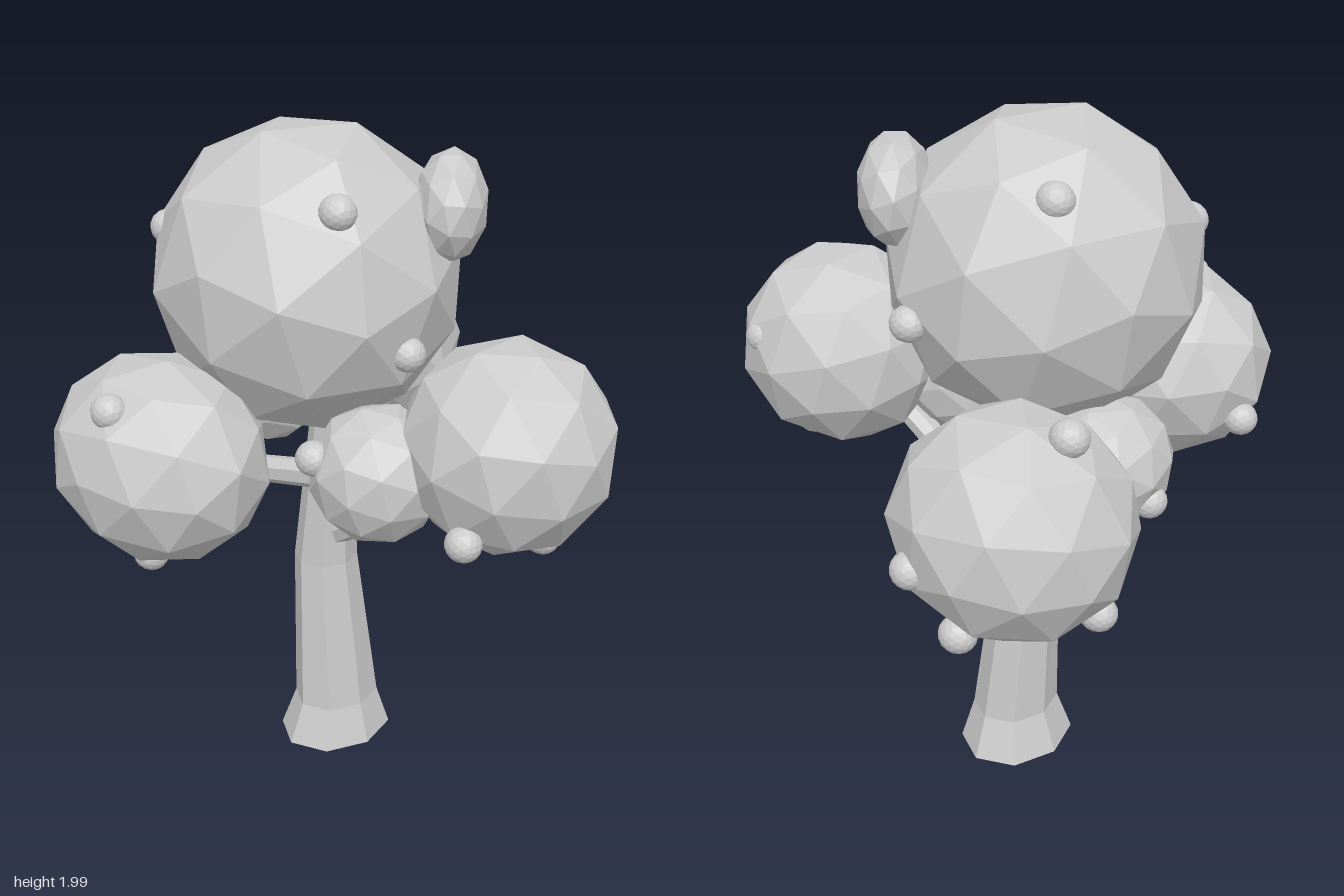
import * as THREE from 'three';

const material = new THREE.MeshStandardMaterial({ color: 0xcccccc, flatShading: true });

// Faceted ball, optionally squashed and turned
function ball(name, [x, y, z], [rx, ry, rz], detail, turn = [0, 0, 0]) {
  const geometry = new THREE.IcosahedronGeometry(1, detail);
  geometry.rotateX(turn[0]).rotateZ(turn[2]).scale(rx, ry, rz).rotateY(turn[1]);
  const mesh = new THREE.Mesh(geometry, material);
  mesh.name = name;
  mesh.position.set(x, y, z);
  return mesh;
}

// Tapered limb between two points
function limb(name, from, to, r0, r1) {
  const a = new THREE.Vector3(...from), b = new THREE.Vector3(...to);
  const mesh = new THREE.Mesh(new THREE.CylinderGeometry(r1, r0, a.distanceTo(b), 7), material);
  mesh.name = name;
  mesh.position.copy(a).add(b).multiplyScalar(0.5);
  mesh.quaternion.setFromUnitVectors(new THREE.Vector3(0, 1, 0), b.sub(a).normalize());
  return mesh;
}

// Bent trunk: a cylinder whose rings follow the given sections [x, y, z, rx, rz]
function trunk() {
  const rings = [
    [-0.08, 1.2, -0.03, 0.06, 0.06],
    [-0.115, 0.88, -0.04, 0.078, 0.08],
    [-0.135, 0.63, -0.045, 0.093, 0.1],
    [-0.11, 0.13, -0.065, 0.118, 0.14],
    [-0.115, 0, -0.065, 0.157, 0.187],
  ];
  const geometry = new THREE.CylinderGeometry(1, 1, rings.length - 1, 8, rings.length - 1);
  const p = geometry.attributes.position;
  for (let i = 0; i < p.count; i++) {
    const [x, y, z, rx, rz] = rings[Math.round((rings.length - 1) / 2 - p.getY(i))];
    p.setXYZ(i, x + p.getX(i) * rx, y, z + p.getZ(i) * rz);
  }
  geometry.computeVertexNormals();
  const mesh = new THREE.Mesh(geometry, material);
  mesh.name = 'trunk';
  return mesh;
}

export function createModel() {
  const tree = new THREE.Group();
  tree.name = 'tree';
  tree.add(trunk());

  // Branches reaching into the side clumps
  tree.add(
    limb('leftBranch', [-0.1, 0.72, -0.04], [0.45, 1.1, -0.1], 0.045, 0.035),
    limb('backBranch', [-0.11, 0.92, -0.04], [-0.46, 1.1, -0.42], 0.045, 0.035),
    limb('frontBranch', [-0.11, 0.92, -0.02], [-0.17, 1.1, 0.45], 0.045, 0.035),
  );

  // Foliage clumps
  tree.add(
    ball('crown', [-0.125, 1.565, 0.03], [0.445, 0.445, 0.445], 1, [0.3, 0.2, 0.1]),
    ball('frontClump', [-0.175, 1.13, 0.52], [0.335, 0.295, 0.285], 1, [0.5, 0.1, 0.2]),
    ball('leftClump', [0.5, 1.195, -0.16], [0.305, 0.305, 0.3], 1, [0.2, 0.6, 0.3]),
    ball('backClump', [-0.475, 1.13, -0.48], [0.33, 0.315, 0.31], 1, [0.4, 0.3, 0.5]),
    ball('smallLeftClump', [0.25, 1.1, 0.09], [0.195, 0.2, 0.195], 1, [0.1, 0.4, 0.2]),
    ball('smallRightClump', [-0.42, 1.11, -0.05], [0.19, 0.18, 0.19], 1, [0.3, 0.9, 0]),
    ball('crownKnob', [0.175, 1.78, -0.235], [0.105, 0.155, 0.185], 1, [0.2, 0.75, 0.3]),
  );

  // Round fruit dotted over the clumps
  const fruit = new THREE.Group();
  fruit.name = 'fruit';
  [
    [-0.4, 1.69, 0.3], [0.17, 1.84, 0.165], [-0.33, 1.86, -0.17], [0.275, 1.44, 0.01],
    [-0.02, 1.5, -0.39], [-0.24, 1.2, -0.17],
    [0.58, 1.01, 0.08], [0.59, 0.93, -0.22], [0.58, 1.27, -0.395], [0.16, 1.16, 0.245],
    [-0.14, 1.33, 0.695], [-0.14, 0.865, 0.59], [-0.48, 1.03, 0.5], [-0.565, 1.03, -0.04],
    [-0.62, 1.41, -0.44], [-0.67, 0.885, -0.37], [-0.47, 0.885, -0.68], [-0.375, 1.07, -0.75],
  ].forEach((at, i) => fruit.add(ball('fruit' + (i + 1), at, [0.053, 0.05, 0.05], 2)));
  tree.add(fruit);
  return tree;
}
